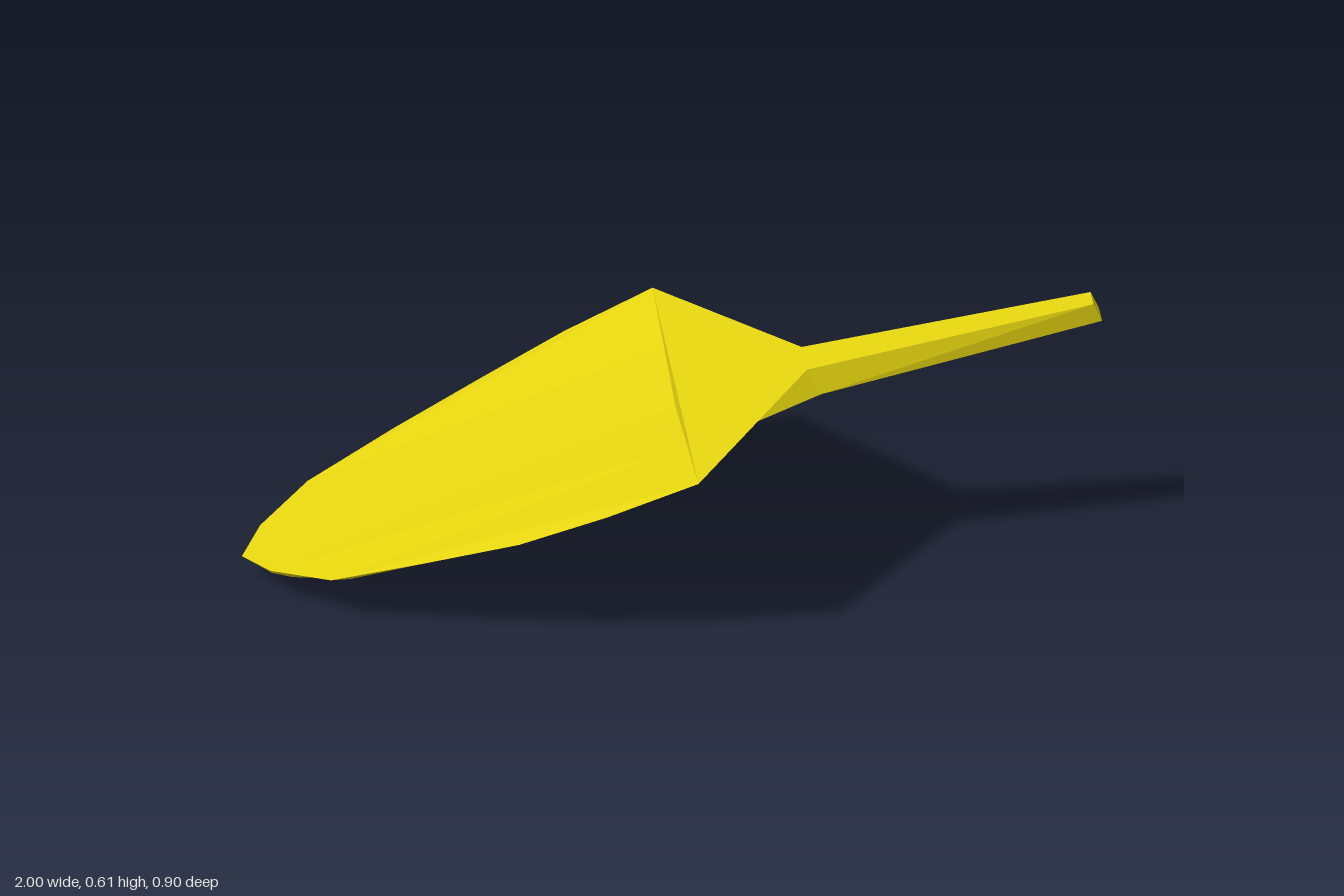
import * as THREE from 'three';

const yellow = new THREE.MeshStandardMaterial({ color: 0xe4d30f });
yellow.name = 'yellow';

// Collects flat triangles; each is turned so that it faces the given direction.
class Facets {
  constructor() { this.points = []; }
  tri(a, b, c, out) {
    const [A, B, C] = [a, b, c].map((p) => new THREE.Vector3(...p));
    const normal = B.clone().sub(A).cross(C.clone().sub(A));
    const faces = normal.dot(new THREE.Vector3(...out)) >= 0;
    for (const p of faces ? [A, B, C] : [A, C, B]) this.points.push(p);
  }
  fan(apex, rim, out) {
    for (let i = 0; i + 1 < rim.length; i++) this.tri(apex, rim[i], rim[i + 1], out);
  }
  mesh(name) {
    const geometry = new THREE.BufferGeometry().setFromPoints(this.points);
    geometry.computeVertexNormals();
    const mesh = new THREE.Mesh(geometry, yellow);
    mesh.name = name;
    return mesh;
  }
}

export function createModel() {
  const group = new THREE.Group();
  group.name = 'shovel';

  // Blade rim from the shoulder to the point, for the +z half
  const rimHalf = [
    [0.01, 0.437, 0.45], [-0.2, 0.348, 0.427], [-0.4, 0.262, 0.382],
    [-0.61, 0.185, 0.31], [-0.82, 0.106, 0.228], [-0.945, 0.068, 0.105], [-1, 0.05, 0],
  ];
  // Lower edge of the blade's thick point
  const lowerHalf = [[-0.77, 0.09, 0.2], [-0.89, 0.03, 0.075], [-0.93, 0, 0]];
  const scoopMid = [0.01, 0.38, 0];
  const scoopQuarter = [0.01, 0.409, 0.225];
  const neckTop = [0.31, 0.49, 0.052];
  const neckBottom = [0.34, 0.432, 0.07];
  const endTop = [0.98, 0.605, 0.028];
  const endBottom = [1, 0.56, 0.03];
  const flip = (p, s) => [p[0], p[1], p[2] * s];

  const scoop = new Facets();
  const underside = new Facets();
  const point = new Facets();
  const collar = new Facets();
  const handle = new Facets();
  const up = [0, 1, 0];
  const down = [0, -1, 0];

  for (const s of [1, -1]) {
    const m = (p) => flip(p, s);
    const rim = rimHalf.map(m);
    const low = lowerHalf.map(m);
    const [quarter, top, bottom] = [scoopQuarter, neckTop, neckBottom].map(m);

    // Hollow upper face of the blade
    scoop.fan(rim[0], rim.slice(1, 5), up);
    scoop.fan(quarter, [rim[0], rim[4], rim[5]], up);
    scoop.fan(scoopMid, [quarter, rim[5], rim[6]], up);

    // Underside: shoulder fan from the neck top, the rest from the neck bottom
    const split = s > 0 ? 3 : 1;
    const out = [0.5, -0.5, s];
    underside.fan(top, [...rim.slice(0, split + 1), bottom], out);
    underside.fan(bottom, [...rim.slice(split, 4), ...low], out);

    // Thick edge around the point
    const edge = [-1, -0.5, s];
    point.tri(rim[3], rim[4], low[0], edge);
    for (let i = 0; i < 2; i++) {
      point.tri(rim[4 + i], rim[5 + i], low[i], edge);
      point.tri(rim[5 + i], low[i], low[i + 1], edge);
    }

    // Handle sides
    handle.fan(bottom, [top, m(endTop), m(endBottom)], [0, 0, s]);
  }
  underside.tri(neckBottom, flip(neckBottom, -1), lowerHalf[2], down);

  // Collar plate and the wall dropping into the scoop
  const shoulder = rimHalf[0];
  collar.fan(shoulder, [flip(shoulder, -1), flip(neckTop, -1), neckTop], up);
  collar.tri(shoulder, flip(shoulder, -1), scoopMid, [-1, 0, 0]);

  // Handle top, bottom and end
  const quad = (a, b, out) => handle.fan(a, [flip(a, -1), flip(b, -1), b], out);
  quad(neckTop, endTop, up);
  quad(neckBottom, endBottom, down);
  quad(endTop, endBottom, [1, 0, 0]);

  group.add(
    scoop.mesh('bladeScoop'),
    underside.mesh('bladeUnderside'),
    point.mesh('bladePoint'),
    collar.mesh('collar'),
    handle.mesh('handle'),
  );
  return group;
}
